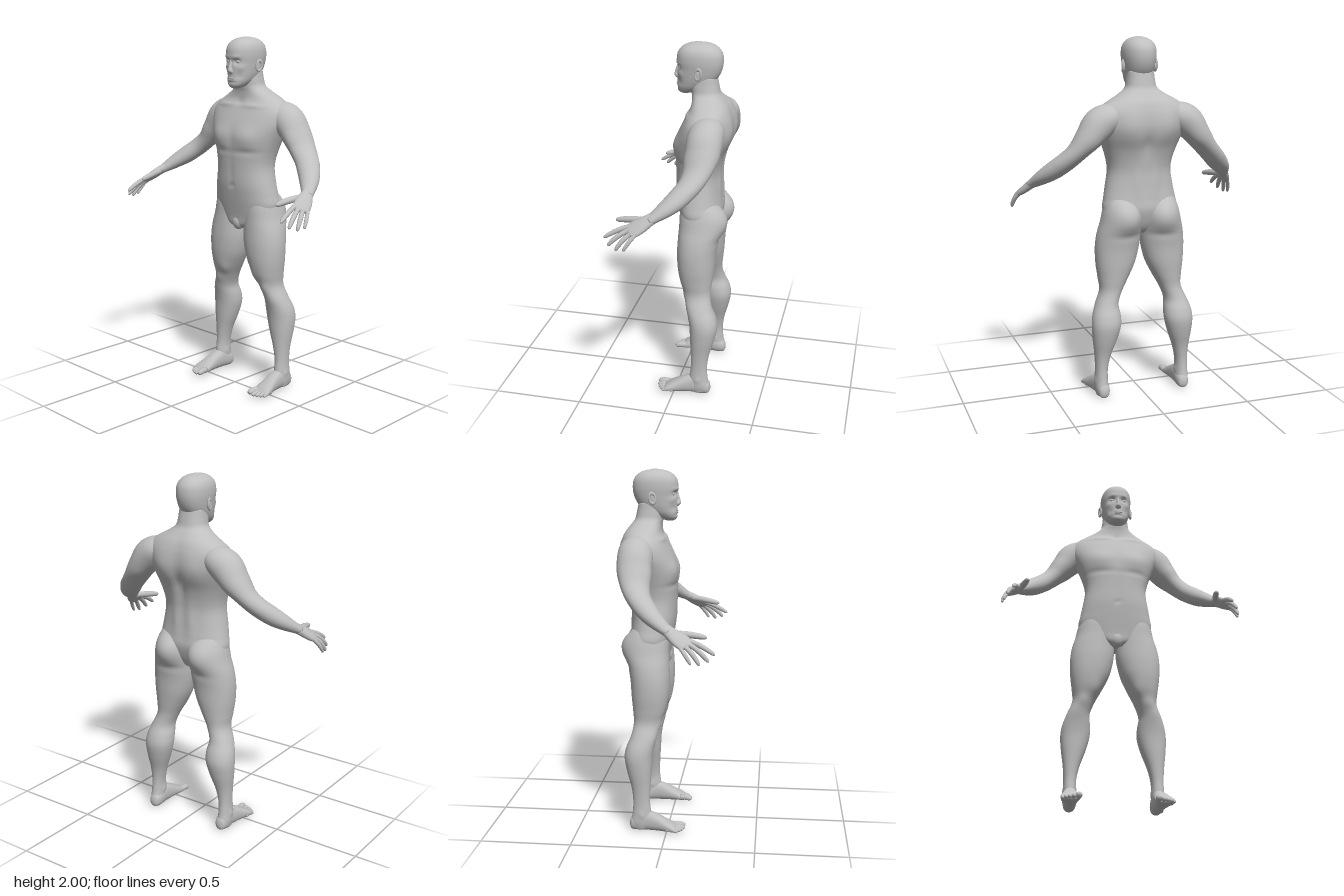
import * as THREE from 'three';

const X = new THREE.Vector3(1, 0, 0), Y = new THREE.Vector3(0, 1, 0), Z = new THREE.Vector3(0, 0, 1);
const skin = new THREE.MeshStandardMaterial({ color: 0xbfbfbf });
skin.name = 'grey skin';

// Skin a smooth tube through rows [x, y, z, radius along side, radius across].
// A fixed axis keeps all rings parallel; otherwise they follow the path.
function loft(rows, { side = X, axis = null, n = 2, around = 32, steps = 5, bumps = [] } = {}) {
  const path = new THREE.CatmullRomCurve3(rows.map(r => new THREE.Vector3(r[0], r[1], r[2])), false, 'catmullrom');
  const size = new THREE.CatmullRomCurve3(rows.map(r => new THREE.Vector3(r[3], r[4], 0)), false, 'catmullrom');
  const rings = (rows.length - 1) * steps, pos = [], index = [];
  const power = v => Math.sign(v) * Math.abs(v) ** (2 / n);
  for (let i = 0; i <= rings; i++) {
    const c = path.getPoint(i / rings), s = size.getPoint(i / rings);
    const t = axis || path.getTangent(i / rings);
    const u = side.clone().addScaledVector(t, -side.dot(t)).normalize();
    const v = u.clone().cross(t);
    for (let j = 0; j < around; j++) {
      const a = j / around * Math.PI * 2;
      const p = c.clone()
        .addScaledVector(u, power(Math.cos(a)) * Math.max(s.x, 0.001))
        .addScaledVector(v, power(Math.sin(a)) * Math.max(s.y, 0.001));
      pos.push(p.x, p.y, p.z);
      const k = (j + 1) % around, b = i * around;
      if (i < rings) index.push(b + j, b + around + j, b + k, b + around + j, b + around + k, b + k);
    }
  }
  // Close both ends
  const first = pos.length / 3, last = rings * around;
  for (const q of [path.getPoint(0), path.getPoint(1)]) pos.push(q.x, q.y, q.z);
  for (let j = 0; j < around; j++) {
    const k = (j + 1) % around;
    index.push(first, j, k, first + 1, last + k, last + j);
  }
  const g = new THREE.BufferGeometry();
  g.setAttribute('position', new THREE.Float32BufferAttribute(pos, 3));
  g.setIndex(index);
  g.computeVertexNormals();
  return bumps.length ? sculpt(g, bumps) : g;
}

// Push the surface in or out around points: [x, y, z, reach, reach in y, amount]
function sculpt(g, bumps) {
  const p = g.attributes.position, nrm = g.attributes.normal;
  for (let i = 0; i < p.count; i++) {
    const v = new THREE.Vector3().fromBufferAttribute(p, i);
    const d = new THREE.Vector3().fromBufferAttribute(nrm, i);
    let push = 0;
    for (const [x, y, z, r, ry, amount] of bumps) {
      for (const s of x ? [1, -1] : [1]) {
        const e = ((v.x - x * s) / r) ** 2 + ((v.y - y) / ry) ** 2 + ((v.z - z) / r) ** 2;
        push += amount * Math.exp(-e);
      }
    }
    v.addScaledVector(d, push);
    p.setXYZ(i, v.x, v.y, v.z);
  }
  g.computeVertexNormals();
  return g;
}

function mirrored(source) {
  const g = source.clone().scale(-1, 1, 1), a = g.index.array;
  for (let i = 0; i < a.length; i += 3) [a[i], a[i + 1]] = [a[i + 1], a[i]];
  g.computeVertexNormals();
  return g;
}

// Horizontal ring rows from extents
const slab = ([y, xi, xo, zf, zb]) => [(xi + xo) / 2, y, (zf + zb) / 2, (xo - xi) / 2, (zf - zb) / 2];
const even = ([y, half, zf, zb]) => slab([y, -half, half, zf, zb]);

// Finger or toe: bent, tapering, with a rounded tip
function digit(base, mid, tip, r, side) {
  const curve = new THREE.QuadraticBezierCurve3(...[base, mid, tip].map(p => new THREE.Vector3(...p)));
  const rows = [[0, 1], [0.3, 0.95], [0.5, 0.98], [0.75, 0.88], [0.92, 0.7], [0.98, 0.4], [1, 0.08]];
  return loft(rows.map(([t, k]) => [...curve.getPoint(t).toArray(), r * k, r * k]), { side, around: 14, steps: 3 });
}

const ball = (x, y, z, rx, ry, rz) => new THREE.SphereGeometry(1, 20, 14).scale(rx, ry, rz).translate(x, y, z);

export function createModel() {
  const model = new THREE.Group();
  model.name = 'standing figure';
  const add = (name, g) => {
    const m = new THREE.Mesh(g, skin);
    m.name = name;
    model.add(m);
  };
  const pair = (name, g) => {
    add('left ' + name, g);
    add('right ' + name, mirrored(g));
  };

  // Torso and neck
  add('torso', loft([
    [0.93, 0.04, -0.02, -0.15], [0.955, 0.11, -0.005, -0.18], [1.0, 0.185, 0, -0.205],
    [1.07, 0.212, 0.012, -0.225], [1.13, 0.203, 0.022, -0.22], [1.19, 0.192, 0.03, -0.214],
    [1.27, 0.179, 0.033, -0.212], [1.33, 0.184, 0.035, -0.22], [1.4, 0.205, 0.038, -0.238],
    [1.47, 0.232, 0.034, -0.262], [1.53, 0.255, 0.015, -0.272], [1.59, 0.262, -0.012, -0.27],
    [1.63, 0.238, -0.032, -0.262], [1.665, 0.188, -0.048, -0.248], [1.7, 0.125, -0.05, -0.222],
    [1.73, 0.088, -0.045, -0.2], [1.77, 0.078, -0.04, -0.19], [1.82, 0.072, -0.05, -0.18],
  ].map(even), {
    axis: Y, n: 2.3, around: 80, steps: 6, bumps: [
      [0.1, 1.45, 0.02, 0.07, 0.055, 0.012],      // chest muscles
      [0.1, 1.375, 0.02, 0.08, 0.015, -0.006],    // crease under the chest
      [0, 1.47, 0.035, 0.015, 0.08, -0.005],      // breastbone
      [0, 1.25, 0.033, 0.014, 0.09, -0.004],      // middle of the belly
      [0, 1.18, 0.03, 0.012, 0.012, -0.007],      // navel
      [0, 1.4, -0.25, 0.028, 0.2, -0.018],        // spine
      [0.1, 1.53, -0.26, 0.07, 0.09, 0.014],      // shoulder blades
      [0.045, 1.22, -0.21, 0.03, 0.1, 0.008],     // lower back
      [0.1, 1.625, -0.05, 0.07, 0.012, 0.006],    // collar bones
      [0, 1.645, -0.04, 0.02, 0.02, -0.008],      // throat hollow
    ],
  }));
  add('groin', ball(0, 0.965, -0.03, 0.04, 0.045, 0.035));

  // Head
  add('head', loft([
    [1.722, 0.018, 0.015, -0.03], [1.735, 0.042, 0.03, -0.07], [1.76, 0.061, 0.035, -0.12],
    [1.79, 0.073, 0.034, -0.165], [1.82, 0.08, 0.034, -0.19], [1.86, 0.086, 0.034, -0.207],
    [1.9, 0.09, 0.038, -0.213], [1.94, 0.087, 0.033, -0.208], [1.97, 0.073, 0.013, -0.187],
    [1.99, 0.045, -0.022, -0.152], [2.0, 0.01, -0.07, -0.105],
  ].map(even), {
    axis: Y, n: 2.2, around: 80, steps: 6, bumps: [
      [0.036, 1.868, 0.028, 0.02, 0.014, -0.013],  // eye sockets
      [0.034, 1.893, 0.03, 0.025, 0.009, 0.004],   // brows
      [0.055, 1.835, 0.01, 0.022, 0.016, 0.004],   // cheekbones
      [0.05, 1.79, 0.02, 0.02, 0.02, -0.004],      // cheeks
      [0, 1.755, 0.035, 0.03, 0.006, -0.004],      // dip over the chin
    ],
  }));
  add('nose', loft([
    [1.799, 0.005, 0.036, 0.02], [1.806, 0.016, 0.045, 0.014], [1.818, 0.017, 0.053, 0.014],
    [1.835, 0.011, 0.05, 0.014], [1.86, 0.009, 0.042, 0.012], [1.888, 0.007, 0.034, 0.008],
  ].map(even), { axis: Y, around: 24 }));
  add('upper lip', ball(0, 1.777, 0.032, 0.025, 0.0055, 0.007));
  add('lower lip', ball(0, 1.767, 0.031, 0.021, 0.0055, 0.007));
  pair('eye', ball(0.035, 1.868, 0.008, 0.015, 0.012, 0.013));
  pair('ear rim', new THREE.TorusGeometry(0.017, 0.006, 10, 28)
    .rotateY(Math.PI / 2).scale(1, 1.6, 1).rotateX(-0.15).rotateY(-0.25).translate(0.093, 1.845, -0.095));
  pair('ear', ball(0.088, 1.843, -0.092, 0.007, 0.03, 0.018));

  // Arms, from inside the shoulder to the wrist
  pair('arm', loft([
    [0.12, 1.6, -0.17, 0.03, 0.04], [0.18, 1.585, -0.17, 0.072, 0.085], [0.25, 1.545, -0.168, 0.088, 0.095],
    [0.31, 1.475, -0.165, 0.072, 0.09], [0.37, 1.4, -0.15, 0.055, 0.077], [0.425, 1.345, -0.122, 0.052, 0.066],
    [0.48, 1.295, -0.075, 0.05, 0.06], [0.525, 1.255, -0.025, 0.041, 0.05],
    [0.56, 1.22, 0.025, 0.029, 0.036], [0.576, 1.203, 0.052, 0.022, 0.03],
  ], {
    side: Y, around: 48, bumps: [
      [0.33, 1.46, -0.085, 0.04, 0.04, 0.005],     // biceps
      [0.29, 1.43, -0.24, 0.05, 0.05, 0.005],      // triceps
      [0.47, 1.34, -0.14, 0.02, 0.02, 0.005],      // elbow
    ],
  }));

  // Hands: palm, four fingers and thumb
  const width = new THREE.Vector3(-0.65, 0.39, 0.65);
  pair('palm', loft([
    [0.55, 1.23, 0.01, 0.028, 0.026], [0.573, 1.206, 0.05, 0.034, 0.024], [0.591, 1.181, 0.09, 0.044, 0.022],
    [0.606, 1.16, 0.125, 0.046, 0.017], [0.615, 1.148, 0.145, 0.036, 0.012], [0.619, 1.143, 0.152, 0.008, 0.004],
  ], { side: width, n: 2.3 }));
  [
    ['index finger', [0.584, 1.172, 0.14], [0.597, 1.148, 0.22], [0.604, 1.1, 0.284], 0.0135],
    ['middle finger', [0.6, 1.162, 0.135], [0.625, 1.13, 0.21], [0.634, 1.07, 0.255], 0.0135],
    ['ring finger', [0.615, 1.152, 0.123], [0.645, 1.115, 0.18], [0.652, 1.055, 0.21], 0.013],
    ['little finger', [0.628, 1.147, 0.105], [0.657, 1.11, 0.14], [0.66, 1.06, 0.167], 0.011],
    ['thumb', [0.57, 1.2, 0.06], [0.54, 1.195, 0.14], [0.528, 1.173, 0.238], 0.018],
  ].forEach(([name, base, mid, tip, r]) => pair(name, digit(base, mid, tip, r, Y)));

  // Legs, from the hip to the ankle
  pair('leg', loft([
    [0.01, 0.215, 0.27, -0.1, -0.19], [0.05, 0.205, 0.278, -0.088, -0.203], [0.1, 0.206, 0.277, -0.088, -0.194],
    [0.17, 0.205, 0.275, -0.096, -0.19], [0.25, 0.187, 0.28, -0.094, -0.2], [0.34, 0.155, 0.291, -0.088, -0.225],
    [0.42, 0.134, 0.296, -0.083, -0.24], [0.48, 0.133, 0.288, -0.073, -0.23], [0.54, 0.139, 0.266, -0.058, -0.205],
    [0.61, 0.113, 0.238, -0.044, -0.192], [0.68, 0.075, 0.243, -0.017, -0.198], [0.76, 0.036, 0.253, 0, -0.207],
    [0.85, 0.012, 0.256, 0.005, -0.214], [0.93, 0.004, 0.247, 0.002, -0.228], [1.0, 0.004, 0.228, -0.002, -0.245],
    [1.07, 0.01, 0.212, -0.005, -0.238], [1.13, 0.03, 0.19, -0.02, -0.2], [1.17, 0.07, 0.15, -0.06, -0.15],
  ].map(slab), {
    axis: Y, n: 2.15, around: 56, bumps: [
      [0.1, 1.03, -0.25, 0.07, 0.07, 0.023],       // buttocks
      [0.1, 0.925, -0.23, 0.08, 0.016, -0.006],    // fold under the buttocks
      [0.185, 0.6, -0.045, 0.03, 0.03, 0.007],     // kneecap
      [0.125, 0.68, -0.04, 0.03, 0.05, 0.007],     // inner thigh muscle
      [0.275, 0.095, -0.14, 0.016, 0.016, 0.005],  // outer ankle
      [0.206, 0.105, -0.14, 0.016, 0.016, 0.005],  // inner ankle
    ],
  }));

  // Feet and toes
  pair('foot', loft([
    [0.238, 0.036, -0.209, 0.01, 0.012], [0.238, 0.04, -0.198, 0.028, 0.036], [0.238, 0.046, -0.165, 0.036, 0.046],
    [0.24, 0.058, -0.115, 0.037, 0.057], [0.243, 0.05, -0.06, 0.041, 0.049], [0.247, 0.037, -0.01, 0.048, 0.036],
    [0.25, 0.026, 0.03, 0.053, 0.024], [0.251, 0.019, 0.052, 0.049, 0.015], [0.252, 0.016, 0.06, 0.03, 0.005],
  ], { axis: Z, n: 2.3 }));
  [[0.209, 0.1, 0.018], [0.236, 0.1, 0.013], [0.257, 0.092, 0.012], [0.276, 0.081, 0.012], [0.293, 0.066, 0.011]]
    .forEach(([x, tip, r], i) => pair('toe ' + (i + 1),
      digit([x + (0.25 - x) * 0.15, r + 0.008, tip - 0.065], [x, r + 0.014, tip - 0.025], [x, r, tip], r, X)));

  return model;
}
